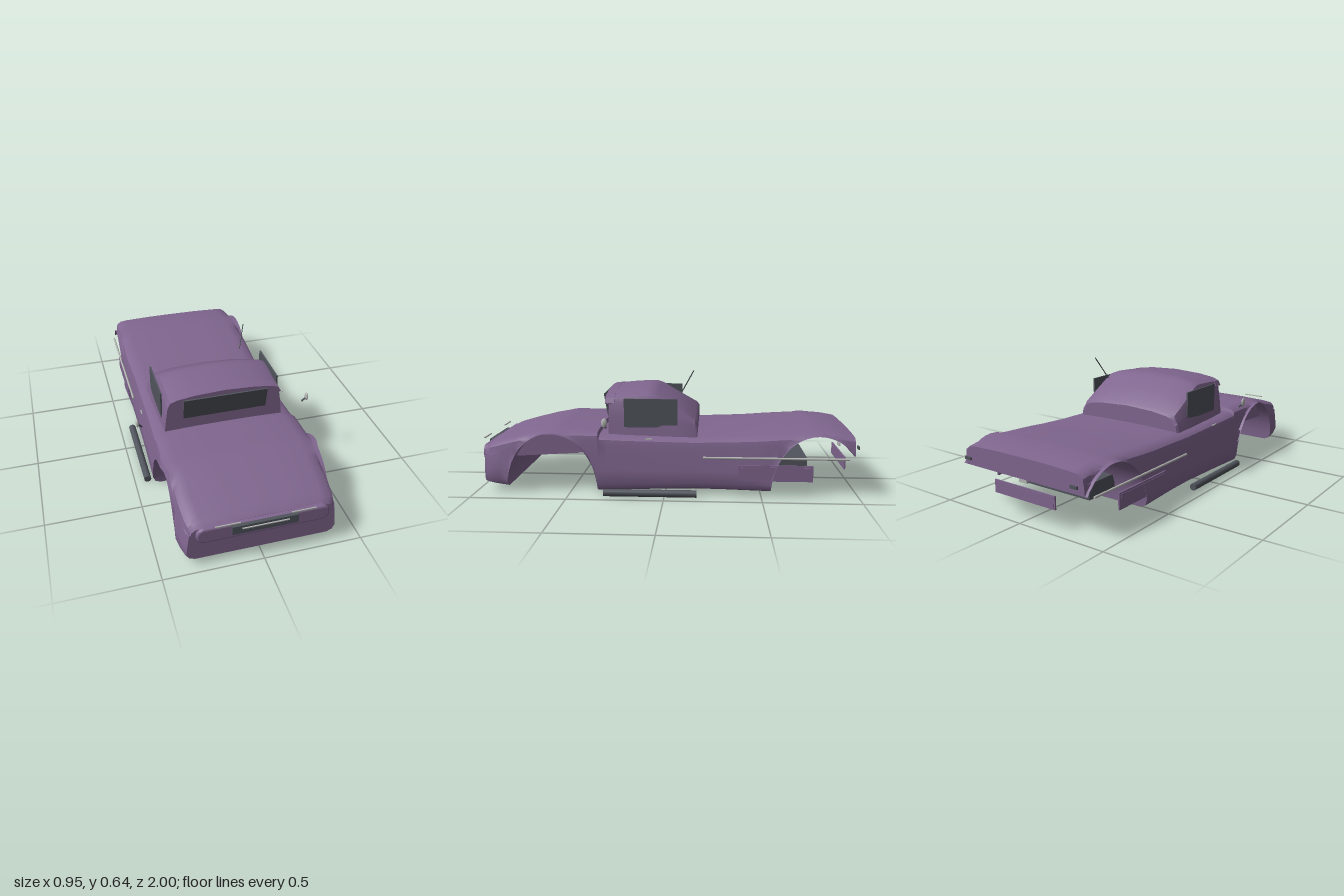
import * as THREE from 'three';
import { toCreasedNormals } from 'three/addons/utils/BufferGeometryUtils.js';

const mat = (name, color) => new THREE.MeshStandardMaterial({ name, color });

// Linear interpolation through [position, value] pairs in rising order
function curve(pairs, z) {
  if (z <= pairs[0][0]) return pairs[0][1];
  for (let i = 1; i < pairs.length; i++) {
    const [z0, a] = pairs[i - 1], [z1, b] = pairs[i];
    if (z <= z1) return a + (b - a) * (z - z0) / (z1 - z0);
  }
  return pairs[pairs.length - 1][1];
}

// Closed mirrored loft: each section is { z, half } from bottom centre to top centre
function loft(sections, crease) {
  const pos = [], index = [];
  let n = 0;
  for (const { z, half } of sections) {
    const ring = [...half, ...half.slice(1, -1).reverse().map(([x, y, dz]) => [-x, y, dz])];
    n = ring.length;
    for (const [x, y, dz = 0] of ring) pos.push(x, y, z + dz);
  }
  for (let i = 0; i < sections.length - 1; i++)
    for (let j = 0; j < n; j++) {
      const a = i * n + j, b = i * n + (j + 1) % n;
      index.push(a, b, b + n, a, b + n, a + n);
    }
  const cap = (start, front) => {
    const c = pos.length / 3;
    let y = 0, z = 0;
    for (let j = 0; j < n; j++) { y += pos[(start + j) * 3 + 1] / n; z += pos[(start + j) * 3 + 2] / n; }
    pos.push(0, y, z);
    for (let j = 0; j < n; j++) {
      const a = start + j, b = start + (j + 1) % n;
      index.push(c, front ? a : b, front ? b : a);
    }
  };
  cap(0, false);
  cap((sections.length - 1) * n, true);
  const g = new THREE.BufferGeometry();
  g.setAttribute('position', new THREE.Float32BufferAttribute(pos, 3));
  g.setIndex(index);
  return toCreasedNormals(g, crease);
}

// Rounded rectangle plate facing +z
function roundedPlate(hw, hh, r, depth, bevel) {
  const s = new THREE.Shape();
  s.moveTo(-hw + r, -hh);
  s.absarc(hw - r, -hh + r, r, -Math.PI / 2, 0);
  s.absarc(hw - r, hh - r, r, 0, Math.PI / 2);
  s.absarc(-hw + r, hh - r, r, Math.PI / 2, Math.PI);
  s.absarc(-hw + r, -hh + r, r, Math.PI, Math.PI * 1.5);
  return new THREE.ExtrudeGeometry(s, { depth, bevelEnabled: true, bevelSize: bevel, bevelThickness: bevel, bevelSegments: 2 });
}

export function createModel() {
  const root = new THREE.Group();
  const paint = mat('purple paint', 0x80668f);
  const dark = mat('dark grey', 0x50545c);
  const chrome = mat('light metal', 0xb4b6b4);
  paint.side = THREE.DoubleSide;

  const add = (name, geometry, material, x = 0, y = 0, z = 0) => {
    const m = new THREE.Mesh(geometry, material);
    m.name = name;
    m.position.set(x, y, z);
    root.add(m);
    return m;
  };
  const box = (name, w, h, d, material, x, y, z) => add(name, new THREE.BoxGeometry(w, h, d), material, x, y, z);
  const rod = (name, a, b, r, material, sides = 10) => {
    const p = new THREE.Vector3(...a), q = new THREE.Vector3(...b);
    const m = add(name, new THREE.CylinderGeometry(r, r, p.distanceTo(q), sides), material);
    m.position.copy(p).add(q).multiplyScalar(0.5);
    m.quaternion.setFromUnitVectors(new THREE.Vector3(0, 1, 0), q.sub(p).normalize());
    return m;
  };

  // Body shell: the wheel arches lift the lower part of each section
  const topLine = [[-0.975, 0.315], [-0.9, 0.328], [-0.8, 0.334], [-0.6, 0.322], [-0.4, 0.308], [-0.15, 0.302],
    [0.2, 0.308], [0.344, 0.314], [0.35, 0.333], [0.59, 0.337], [0.7, 0.318], [0.85, 0.28], [0.93, 0.257], [0.955, 0.238]];
  const widthLine = [[-0.975, 0.398], [-0.75, 0.405], [-0.55, 0.41], [-0.3, 0.4], [0.1, 0.402], [0.35, 0.408],
    [0.58, 0.412], [0.64, 0.396], [0.8, 0.398], [0.92, 0.388], [0.955, 0.372]];
  const floorLine = [[-0.55, 0.024], [-0.15, 0.03], [0.35, 0.016], [0.83, 0.03], [0.955, 0.045]];
  const arches = [{ c: 0.59, r: 0.24 }, { c: -0.79, r: 0.24 }];
  const stations = [-0.975, -0.45, -0.3, -0.15, 0, 0.1, 0.2, 0.3, 0.344, 0.87, 0.9, 0.93, 0.955];
  for (const { c, r } of arches)
    for (let i = 0; i <= 20; i++) {
      const z = c + r * Math.cos(i * Math.PI / 20);
      if (z > -0.97) stations.push(z);
    }
  stations.sort((a, b) => a - b);
  const bodySections = stations.map(z => {
    const t = curve(topLine, z), w = curve(widthLine, z), b = curve(floorLine, z);
    let lift = 0;
    for (const { c, r } of arches) {
      const k = 1 - ((z - c) / r) ** 2;
      if (k > 1e-6) lift = b + 0.297 * Math.sqrt(k);
    }
    lift = Math.min(lift, t - 0.008);
    const half = [[0, b], [w - 0.04, b], [w - 0.012, b + 0.012], [w, b + 0.04], [w - 0.004, 0.13], [w - 0.014, 0.2],
      [w - 0.018, t - 0.055], [w - 0.024, t - 0.025], [w - 0.045, t - 0.008], [w - 0.09, t - 0.002], [w * 0.4, t + 0.003], [0, t + 0.004]];
    return { z, half: half.map(([x, y], i) => [x, i < 9 ? Math.max(y, lift) : y]) };
  });
  add('bodyShell', loft(bodySections, 0.6), paint);

  // Block under the bonnet, seen through the front arches
  const bay = [[0.355, 0.212, 0.31], [0.59, 0.197, 0.328], [0.835, 0.182, 0.272]];
  add('engineBay', loft(bay.map(([z, b, t]) => ({ z, half: [[0, b], [0.33, b], [0.33, t], [0, t]] })), 0.5), paint);

  // Cab with a short visor and a sloping back
  const cabSection = (z, t, w, base = 0.28, dz = 0) => ({
    z, half: [[0, base], [w + 0.025, base], [w + 0.012, base + (t - base) * 0.45], [w, t - 0.06],
      [w - 0.012, t - 0.035], [w - 0.045, t - 0.022], [w * 0.55, t - 0.008], [0, t, dz]]
  });
  add('cab', loft([
    cabSection(-0.168, 0.4, 0.305), cabSection(-0.155, 0.416, 0.312), cabSection(-0.05, 0.475, 0.312),
    cabSection(0.045, 0.532, 0.308), cabSection(0.075, 0.542, 0.307), cabSection(0.11, 0.543, 0.307),
    cabSection(0.2, 0.537, 0.305), cabSection(0.3, 0.528, 0.302)
  ], 0.55), paint);
  const visor = (z, t, w) => ({ z, half: [[0, t - 0.014], [w * 0.55, t - 0.022], [w - 0.055, t - 0.036], [w - 0.01, t - 0.065],
    [w + 0.004, t - 0.06], [w - 0.01, t - 0.033], [w - 0.045, t - 0.02], [w * 0.55, t - 0.007], [0, t + 0.001]] });
  add('roofVisor', loft([visor(0.27, 0.531, 0.304), visor(0.318, 0.527, 0.303)], 0.5), paint);

  // Glass
  const windshield = box('windshield', 0.45, 0.122, 0.008, dark, 0, 0.448, 0.322);
  windshield.rotation.x = 0.17;

  // Nose bezel, grille and lamps
  add('noseBezel', roundedPlate(0.318, 0.033, 0.03, 0.02, 0.01), paint, 0, 0.198, 0.945);
  box('grille', 0.324, 0.048, 0.018, dark, 0, 0.214, 0.982);
  box('grilleStrip', 0.23, 0.005, 0.006, chrome, 0, 0.223, 0.994);

  // Paired parts
  for (const s of [1, -1]) {
    box('sideWindow', 0.009, 0.15, 0.28, dark, s * 0.321, 0.42, 0.077);
    box('frontLampStrip', 0.12, 0.006, 0.006, chrome, s * 0.185, 0.262, 0.992);
    rod('sidePipe', [s * 0.432, 0.02, -0.168], [s * 0.432, 0.02, 0.315], 0.019, dark, 20);
    rod('sideTrim', [s * 0.408, 0.206, -0.2], [s * 0.408, 0.206, -0.94], 0.006, chrome);
    box('sidePlate', 0.008, 0.084, 0.38, paint, s * 0.402, 0.127, -0.572);
    box('sidePlateInset', 0.01, 0.064, 0.355, paint, s * 0.403, 0.127, -0.572);
    const mirror = add('mirror', new THREE.SphereGeometry(1, 16, 10), chrome, s * 0.466, 0.392, 0.3);
    mirror.scale.set(0.008, 0.024, 0.016);
    rod('mirrorStalk', [s * 0.464, 0.385, 0.3], [s * 0.442, 0.363, 0.295], 0.005, dark);
    box('doorHandle', 0.006, 0.006, 0.035, chrome, s * 0.408, 0.3, 0.08);
    box('tailLamp', 0.04, 0.015, 0.008, dark, s * 0.34, 0.255, -0.996);
  }

  // Rear fittings
  box('rearTank', 0.44, 0.08, 0.19, dark, 0, 0.127, -0.66);
  box('rearPlate', 0.39, 0.066, 0.008, paint, 0, 0.135, -0.96);
  box('rearPlateInset', 0.37, 0.05, 0.01, paint, 0, 0.135, -0.961);
  box('rearPlateLamp', 0.05, 0.016, 0.01, chrome, 0, 0.2, -0.962);

  // Aerial
  rod('aerial', [0.2, 0.515, -0.08], [0.24, 0.636, -0.145], 0.003, dark, 8);
  return root;
}
